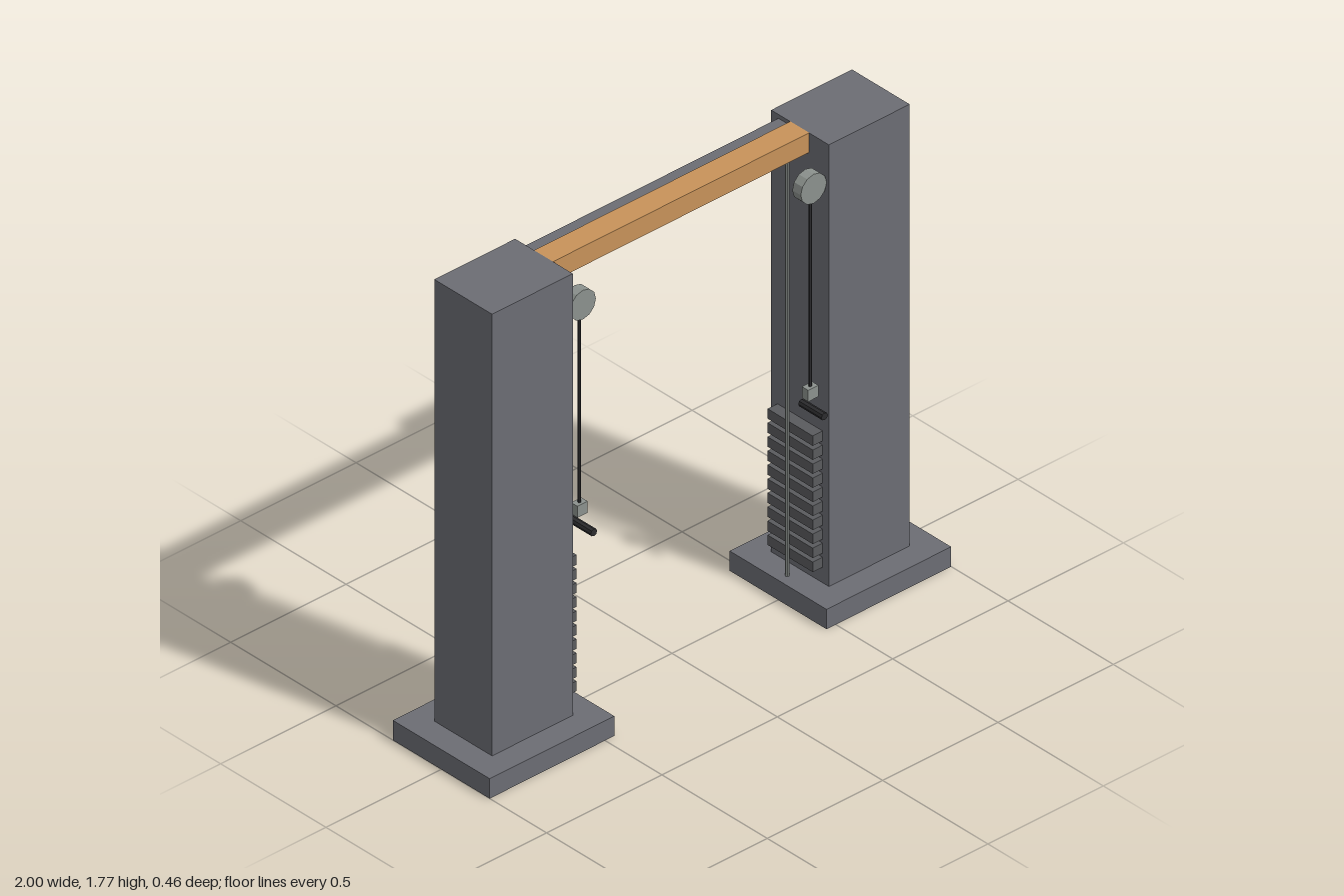
import * as THREE from 'three';

const paint = (color) => new THREE.MeshStandardMaterial({ color, flatShading: true });

export function createModel() {
  const model = new THREE.Group();
  model.name = 'cableCrossoverMachine';

  const frame = paint(0x6c6d74);
  const wood = paint(0xc8935a);
  const plate = paint(0x5a5b5e);
  const steel = paint(0x8c928e);
  const dark = paint(0x2c2c2e);

  const add = (parent, name, geometry, material, x, y, z) => {
    const mesh = new THREE.Mesh(geometry, material);
    mesh.name = name;
    mesh.position.set(x, y, z);
    parent.add(mesh);
    return mesh;
  };
  const box = (parent, name, material, w, h, d, x, y, z) =>
    add(parent, name, new THREE.BoxGeometry(w, h, d), material, x, y, z);
  const rod = (parent, name, material, radius, length, sides, x, y, z) =>
    add(parent, name, new THREE.CylinderGeometry(radius, radius, length, sides), material, x, y, z);

  // One station per side, mirrored by the sign of x
  for (const side of [-1, 1]) {
    const station = new THREE.Group();
    station.name = side > 0 ? 'leftStation' : 'rightStation';
    model.add(station);

    // Foot and tower
    box(station, 'base', frame, 0.54, 0.076, 0.46, side * 0.73, 0.038, 0);
    box(station, 'tower', frame, 0.35, 1.696, 0.274, side * 0.73, 0.922, 0);

    // Weight stack on the inner face of the tower
    for (let i = 0; i < 10; i++) {
      box(station, 'weightPlate', plate, 0.06, 0.038, 0.215, side * 0.542, 0.155 + i * 0.0538, 0);
    }

    // Guide rod from base to beam
    rod(station, 'guideRod', steel, 0.007, 1.63, 8, side * 0.5, 0.89, 0);

    // Pulley, cable, connector and hand grip
    rod(station, 'pulley', steel, 0.056, 0.04, 12, side * 0.5, 1.62, 0.105).rotation.x = Math.PI / 2;
    rod(station, 'cable', dark, 0.006, 0.8, 6, side * 0.5, 1.22, 0.108);
    box(station, 'connector', steel, 0.044, 0.044, 0.03, side * 0.5, 0.834, 0.108);
    rod(station, 'handGrip', dark, 0.014, 0.11, 8, side * 0.5, 0.772, 0.122).rotation.x = Math.PI / 2;
  }

  // Cross members between the towers
  box(model, 'woodenBeam', wood, 1.112, 0.075, 0.09, 0, 1.7325, -0.002);
  box(model, 'rearCrossbar', frame, 1.112, 0.045, 0.045, 0, 1.7325, -0.08);

  return model;
}
